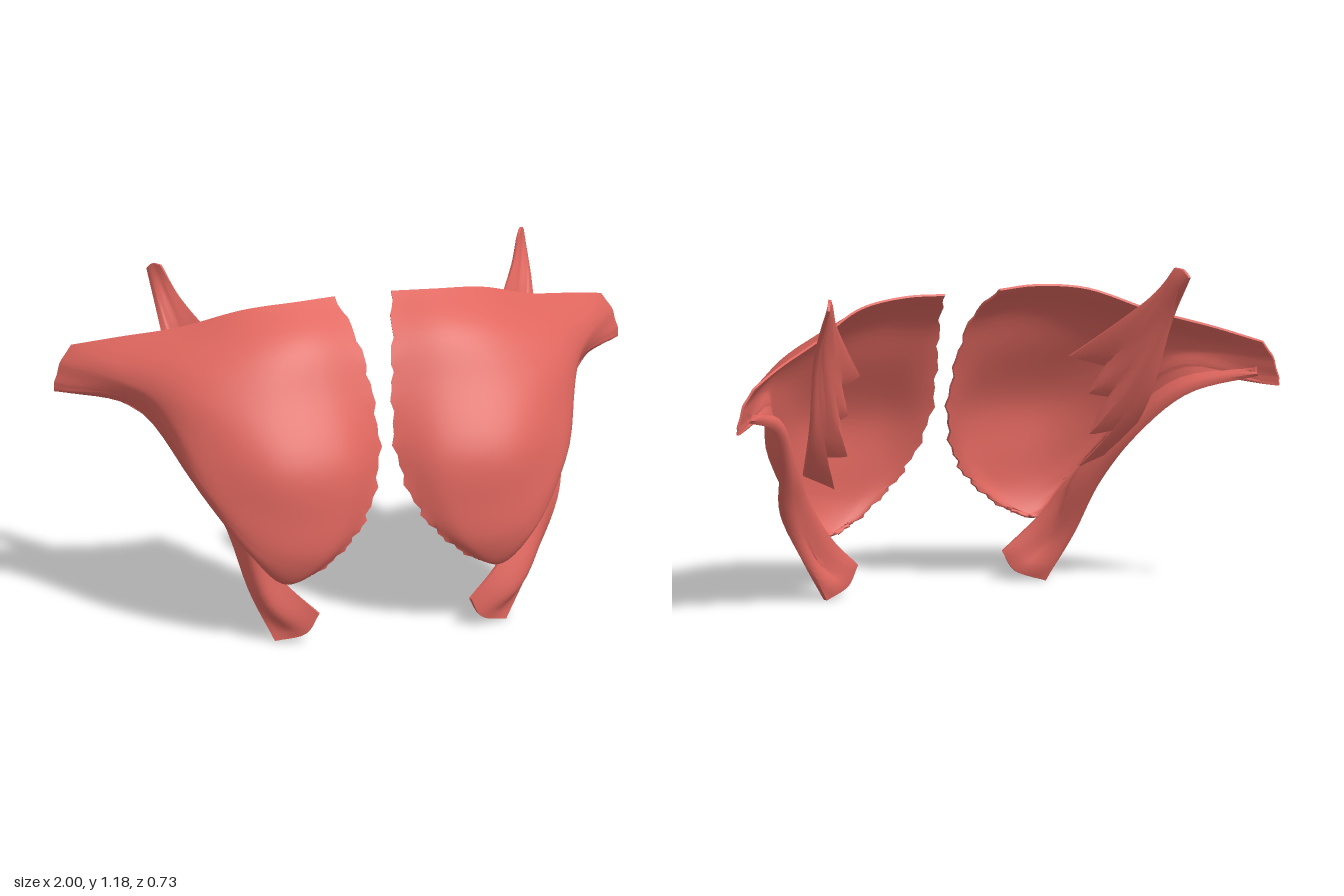
import * as THREE from 'three';
import { toCreasedNormals } from 'three/addons/utils/BufferGeometryUtils.js';

const material = new THREE.MeshStandardMaterial({ color: 0xe0675f, side: THREE.DoubleSide });

// Smooth closed sheet through a grid of control points, thickened inwards.
function sheet(name, rows, side, { nu = 24, nv = 24, thickness = 0.025, ragged = 0, straight = false }) {
  const toCurve = (pts) => new THREE.CatmullRomCurve3(pts, false, 'centripetal');
  const curves = rows.map((r) => toCurve(r.map((p) => new THREE.Vector3(...p))));
  const front = [], index = [];
  const w = nu + 1, count = w * (nv + 1);
  const columns = [];
  for (let i = 0; i <= nu; i++) {
    const pts = curves.map((c) => c.getPoint(i / nu));
    const across = toCurve(pts);
    columns.push((t) => {
      if (!straight) return across.getPoint(t);
      const k = Math.min(Math.floor(t * (pts.length - 1)), pts.length - 2);
      return pts[k].clone().lerp(pts[k + 1], t * (pts.length - 1) - k);
    });
  }
  for (let j = 0; j <= nv; j++) {
    for (let i = 0; i <= nu; i++) {
      const p = columns[i](j / nv);
      // frayed attachment along the first column
      if (i === 0) p.x += ragged * Math.sin(j * 2.3) * Math.cos(j * 0.9);
      front.push(p.x * side, p.y, p.z);
    }
  }
  const quad = (a, b, c, d) => {
    if (side > 0) index.push(a, c, b, b, c, d);
    else index.push(a, b, c, b, d, c);
  };
  for (let j = 0; j < nv; j++) {
    for (let i = 0; i < nu; i++) {
      const a = j * w + i;
      quad(a, a + 1, a + w, a + w + 1);
    }
  }
  const skin = new THREE.BufferGeometry();
  skin.setAttribute('position', new THREE.Float32BufferAttribute(front, 3));
  skin.setIndex(index.slice());
  skin.computeVertexNormals();
  const n = skin.attributes.normal.array;

  // back face: thinner towards the rim
  const back = front.map((value, k) => {
    const v = Math.floor(k / 3), i = v % w, j = Math.floor(v / w);
    const swell = Math.sqrt(Math.sin((Math.PI * i) / nu) * Math.sin((Math.PI * j) / nv) + 1e-6);
    return value - n[k] * thickness * (0.3 + 0.7 * swell);
  });
  for (let j = 0; j < nv; j++) {
    for (let i = 0; i < nu; i++) {
      const a = count + j * w + i;
      quad(a + 1, a, a + w + 1, a + w);
    }
  }
  // rim
  for (let i = 0; i < nu; i++) {
    const b = nv * w + i;
    quad(count + i, count + i + 1, i, i + 1);
    quad(b, b + 1, count + b, count + b + 1);
  }
  for (let j = 0; j < nv; j++) {
    const a = j * w, b = a + nu;
    quad(count + a, a, count + a + w, a + w);
    quad(b, count + b, b + w, count + b + w);
  }
  const geometry = new THREE.BufferGeometry();
  geometry.setAttribute('position', new THREE.Float32BufferAttribute(front.concat(back), 3));
  geometry.setIndex(index);
  const mesh = new THREE.Mesh(toCreasedNormals(geometry, 0.9), material);
  mesh.name = name;
  return mesh;
}

// Broad chest fan, rows from the collar edge down, each from breastbone to arm;
// the last row folds back under the armpit
const fan = [
  [[0.1, 1.1, -0.04], [0.24, 1.1, -0.02], [0.42, 1.08, -0.05], [0.62, 1.005, -0.15], [0.8, 0.955, -0.255], [0.94, 0.91, -0.35]],
  [[0.06, 0.98, 0.1], [0.24, 1.0, 0.13], [0.42, 0.98, 0.12], [0.64, 0.93, 0.03], [0.82, 0.89, -0.15], [0.96, 0.88, -0.35]],
  [[0.035, 0.82, 0.18], [0.22, 0.84, 0.225], [0.44, 0.83, 0.225], [0.64, 0.83, 0.13], [0.81, 0.85, -0.1], [0.98, 0.85, -0.35]],
  [[0.03, 0.61, 0.25], [0.17, 0.62, 0.335], [0.42, 0.62, 0.345], [0.65, 0.69, 0.18], [0.78, 0.81, -0.05], [0.99, 0.81, -0.35]],
  [[0.09, 0.43, 0.31], [0.2, 0.43, 0.36], [0.43, 0.45, 0.355], [0.64, 0.58, 0.22], [0.77, 0.78, -0.05], [1, 0.78, -0.35]],
  [[0.17, 0.33, 0.33], [0.27, 0.3, 0.36], [0.46, 0.34, 0.345], [0.645, 0.54, 0.215], [0.77, 0.775, -0.055], [1, 0.765, -0.35]],
  [[0.27, 0.25, 0.33], [0.38, 0.21, 0.315], [0.5, 0.32, 0.315], [0.65, 0.53, 0.19], [0.77, 0.77, -0.06], [1, 0.75, -0.35]],
  [[0.34, 0.22, 0.31], [0.4, 0.22, 0.29], [0.5, 0.36, 0.22], [0.63, 0.51, 0.11], [0.78, 0.74, -0.11], [0.99, 0.75, -0.35]],
];

// Lower strap: inner edge, middle, outer edge, each from the belly end to the arm
const strap = [
  [[0.27, 0.1, 0.335], [0.38, 0.21, 0.3], [0.5, 0.37, 0.22], [0.6, 0.52, 0.11], [0.74, 0.71, -0.06], [0.94, 0.81, -0.3]],
  [[0.31, 0.03, 0.32], [0.45, 0.12, 0.3], [0.57, 0.35, 0.19], [0.66, 0.52, 0.05], [0.77, 0.71, -0.11], [0.94, 0.79, -0.3]],
  [[0.41, 0, 0.28], [0.52, 0.16, 0.21], [0.65, 0.36, 0.1], [0.71, 0.55, -0.04], [0.79, 0.71, -0.18], [0.94, 0.78, -0.31]],
];
// The right strap lies closer to the ribs
const tuck = [0, 0.04, 0.12, 0.1, 0.05, 0];
const rightStrap = strap.map((row, r) => row.map(([x, y, z], i) => [x - (tuck[i] * r) / 2, y, z]));

// Deep muscle: alternating fingers and notches on the ribs, meeting at the shoulder tip
const deep = [
  [[0.39, 0.83, 0.03], [0.5, 0.96, -0.11], [0.59, 1.08, -0.23], [0.64, 1.18, -0.3]],
  [[0.5, 0.8, -0.04], [0.54, 0.9, -0.12], [0.61, 1.06, -0.235], [0.648, 1.18, -0.315]],
  [[0.45, 0.7, 0], [0.555, 0.86, -0.12], [0.62, 1.05, -0.24], [0.655, 1.18, -0.33]],
  [[0.53, 0.69, -0.05], [0.565, 0.82, -0.12], [0.635, 1.04, -0.24], [0.66, 1.175, -0.34]],
  [[0.45, 0.56, 0], [0.57, 0.79, -0.12], [0.645, 1.03, -0.24], [0.663, 1.17, -0.345]],
  [[0.53, 0.57, -0.01], [0.585, 0.76, -0.11], [0.65, 1.02, -0.235], [0.666, 1.165, -0.35]],
  [[0.45, 0.43, 0.1], [0.6, 0.72, -0.1], [0.655, 1.0, -0.23], [0.668, 1.16, -0.355]],
  [[0.59, 0.5, 0.04], [0.63, 0.7, -0.11], [0.66, 0.97, -0.22], [0.67, 1.155, -0.36]],
];

export function createModel() {
  const model = new THREE.Group();
  model.name = 'chestMuscles';
  for (const side of [1, -1]) {
    const half = new THREE.Group();
    half.name = side > 0 ? 'leftChest' : 'rightChest';
    half.add(
      sheet('chestFan', fan, side, { nu: 32, nv: 42, ragged: 0.01 }),
      sheet('lowerStrap', side > 0 ? strap : rightStrap, side, { nu: 28, nv: 10, thickness: 0.05 }),
      sheet('deepMuscle', deep, side, { nu: 16, nv: 28, thickness: 0.03, straight: true }),
    );
    model.add(half);
  }
  return model;
}
